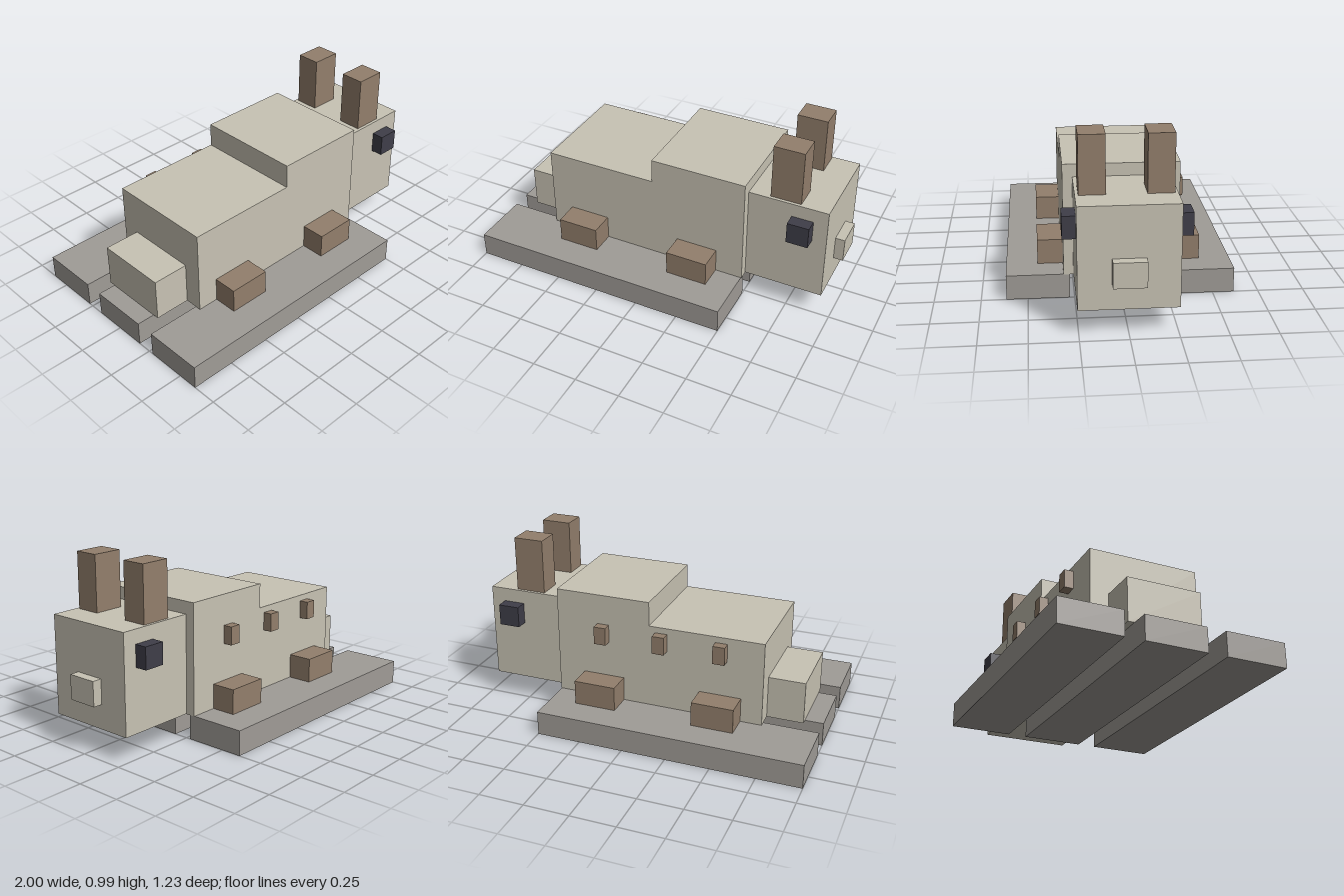
import * as THREE from 'three';

export function createModel() {
  const model = new THREE.Group();
  model.name = 'blockAnimalOnPlanks';

  const mat = (name, color) => {
    const m = new THREE.MeshStandardMaterial({ color });
    m.name = name;
    return m;
  };
  const cream = mat('cream', 0xc8c3b4);
  const brown = mat('brown', 0x937f6c);
  const grey = mat('grey', 0xa09c97);
  const dark = mat('dark', 0x3f3e49);

  // Box given by its lower and upper bounds on each axis
  const block = (name, material, [x0, x1], [y0, y1], [z0, z1]) => {
    const mesh = new THREE.Mesh(new THREE.BoxGeometry(x1 - x0, y1 - y0, z1 - z0), material);
    mesh.position.set((x0 + x1) / 2, (y0 + y1) / 2, (z0 + z1) / 2);
    mesh.name = name;
    model.add(mesh);
  };
  // The same box on both sides of the body
  const pair = (name, material, x, y, [z0, z1]) => {
    block(name + 'Near', material, x, y, [z0, z1]);
    block(name + 'Far', material, x, y, [-z1, -z0]);
  };

  // Base planks
  block('plankMiddle', grey, [-1, 0.5], [0, 0.137], [-0.17, 0.17]);
  pair('plank', grey, [-1, 0.5], [0, 0.137], [0.275, 0.615]);

  // Body, head, snout and tail
  block('rearBody', cream, [-0.692, -0.043], [0.137, 0.617], [-0.308, 0.308]);
  block('frontBody', cream, [-0.043, 0.504], [0.137, 0.754], [-0.308, 0.308]);
  block('head', cream, [0.504, 0.947], [0.14, 0.685], [-0.256, 0.256]);
  block('snout', cream, [0.947, 1], [0.275, 0.411], [-0.085, 0.085]);
  block('tail', cream, [-0.897, -0.692], [0.137, 0.377], [-0.205, 0.205]);

  // Ears and eyes
  pair('ear', brown, [0.62, 0.79], [0.685, 0.993], [0.103, 0.239]);
  pair('eye', dark, [0.748, 0.868], [0.488, 0.608], [0.256, 0.325]);

  // Feet
  [[-0.572, -0.336], [0.11, 0.348]].forEach((x, i) =>
    pair(i ? 'frontFoot' : 'rearFoot', brown, x, [0.137, 0.275], [0.308, 0.445]));

  // Studs along the back side only
  [-0.455, -0.113, 0.229].forEach((x, i) =>
    block('stud' + (i + 1), brown, [x - 0.034, x + 0.034], [0.481, 0.583], [-0.359, -0.308]));

  return model;
}
